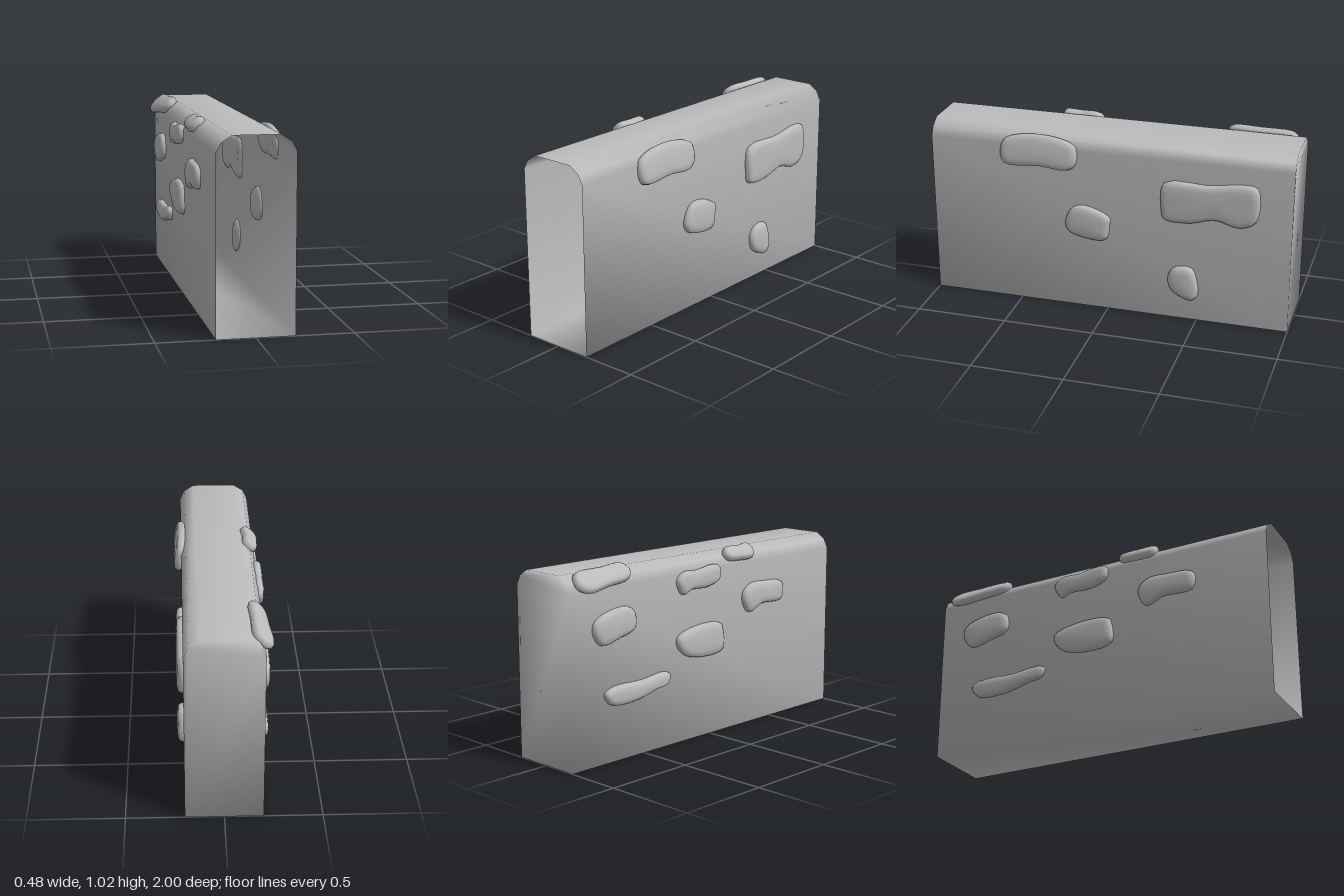
import * as THREE from 'three';

const grey = new THREE.MeshStandardMaterial({ color: 0xbbbbbb, side: THREE.DoubleSide });
grey.name = 'stone grey';

function meshFrom(name, positions, index) {
  const g = new THREE.BufferGeometry();
  g.setAttribute('position', new THREE.Float32BufferAttribute(positions, 3));
  g.setIndex(index);
  g.computeVertexNormals();
  const mesh = new THREE.Mesh(g, grey);
  mesh.name = name;
  return mesh;
}

// Hollow wall shell with chamfered top, closed at the back and open at the front;
// corners are shared so the shading runs smoothly over the edges
function makeWall() {
  const half = [[0.2, 0], [0.2, 0.915], [0.175, 0.965], [0.12, 1]];
  const profile = [...half, ...half.map(([x, y]) => [-x, y]).reverse()];
  const n = profile.length, pos = [], idx = [];
  for (const z of [1, -1]) for (const [x, y] of profile) pos.push(x, y, z);
  for (let i = 0; i < n; i++) {
    const j = (i + 1) % n;
    idx.push(i, n + i, j, n + i, n + j, j);
  }
  const outline = profile.map(([x, y]) => new THREE.Vector2(x, y));
  for (const [a, b, c] of THREE.ShapeUtils.triangulateShape(outline, [])) idx.push(n + a, n + c, n + b);
  return meshFrom('wall', pos, idx);
}

// Cross-sections of a stone: distance from the wall face, inset of the outline
const RINGS = [[-0.02, 0.03], [-0.01, 0.008], [0, 0], [0.018, 0.004], [0.028, 0.016], [0.033, 0.04]];

// Pillow-shaped stone: outline in (z, height), side +1 or -1,
// tilted about the z axis through (side * x, y)
function makeStone(name, { side, outline, x = 0.2, y = 0, tilt = 0 }) {
  const curve = new THREE.CatmullRomCurve3(
    outline.map(([z, u]) => new THREE.Vector3(-side * z, u, 0)), true, 'centripetal');
  const pts = curve.getPoints(36).slice(0, -1);
  if (THREE.ShapeUtils.area(pts) < 0) pts.reverse();
  const box = new THREE.Box3().setFromPoints(pts);
  const c = box.getCenter(new THREE.Vector3());
  const h = box.getSize(new THREE.Vector3()).multiplyScalar(0.5);
  const soft = Math.min(1, h.y / 0.085);
  const pivot = y || c.y;
  const cos = Math.cos(tilt), sin = Math.sin(tilt);
  const n = pts.length, pos = [], idx = [];
  const put = (q, u, d) => {
    const v = y ? u : u - c.y;
    pos.push(side * (x + d * cos - v * sin), pivot + d * sin + v * cos, -side * q);
  };
  for (const [d, inset] of RINGS) {
    const k = inset * soft;
    for (const p of pts) put(c.x + (p.x - c.x) * (1 - k / h.x), c.y + (p.y - c.y) * (1 - k / h.y), d);
  }
  const last = RINGS.length - 1;
  const inner = n * RINGS.length, outer = inner + 1;
  put(c.x, c.y, RINGS[0][0]);
  put(c.x, c.y, RINGS[last][0] + 0.003);
  for (let i = 0; i < n; i++) {
    const j = (i + 1) % n;
    for (let k = 0; k < last; k++) {
      const a = k * n, b = a + n;
      idx.push(a + i, a + j, b + j, a + i, b + j, b + i);
    }
    idx.push(inner, j, i, outer, last * n + i, last * n + j);
  }
  return meshFrom(name, pos, idx);
}

const STONES = {
  // Left side of the wall (+x)
  leftUpperStone: { side: 1, tilt: 0.15, outline: [[0.6, 0.9], [0.57, 0.95], [0.38, 0.985], [0.19, 0.945],
    [0.17, 0.9], [0.18, 0.83], [0.23, 0.8], [0.37, 0.81], [0.58, 0.81]] },
  leftLongStone: { side: 1, outline: [[-0.31, 0.79], [-0.56, 0.8], [-0.74, 0.825], [-0.81, 0.81], [-0.825, 0.69],
    [-0.8, 0.61], [-0.72, 0.58], [-0.59, 0.61], [-0.45, 0.575], [-0.31, 0.585], [-0.295, 0.64]] },
  leftMiddleStone: { side: 1, outline: [[0.24, 0.5], [0.2, 0.585], [0.13, 0.605], [-0.01, 0.55],
    [-0.01, 0.5], [0.01, 0.42], [0.14, 0.42], [0.22, 0.45]] },
  leftLowStone: { side: 1, outline: [[-0.34, 0.26], [-0.375, 0.305], [-0.45, 0.315], [-0.48, 0.295],
    [-0.505, 0.155], [-0.475, 0.12], [-0.37, 0.16], [-0.34, 0.21]] },
  // Right side of the wall (-x)
  rightBackStone: { side: -1, outline: [[-0.85, 0.74], [-0.8, 0.78], [-0.62, 0.805], [-0.57, 0.77],
    [-0.57, 0.685], [-0.68, 0.647], [-0.8, 0.627], [-0.85, 0.685]] },
  rightMiddleStone: { side: -1, outline: [[-0.255, 0.579], [-0.136, 0.62], [0.07, 0.614], [0.09, 0.58],
    [0.09, 0.465], [-0.08, 0.445], [-0.2, 0.475], [-0.255, 0.53]] },
  rightLowStone: { side: -1, outline: [[-0.78, 0.37], [-0.72, 0.4], [-0.52, 0.4], [-0.36, 0.415],
    [-0.32, 0.4], [-0.336, 0.352], [-0.424, 0.334], [-0.56, 0.3], [-0.744, 0.31]] },
  rightUpperStone: { side: -1, outline: [[-0.26, 0.88], [-0.216, 0.925], [-0.104, 0.925], [0, 0.94],
    [0.06, 0.93], [0.06, 0.86], [-0.04, 0.823], [-0.16, 0.825], [-0.22, 0.805]] },
  rightFrontStone: { side: -1, outline: [[0.26, 0.75], [0.32, 0.795], [0.44, 0.795], [0.57, 0.78],
    [0.59, 0.74], [0.57, 0.674], [0.4, 0.67], [0.304, 0.635], [0.26, 0.69]] },
  // Stones lying over the right top edge
  backEdgeStone: { side: -1, x: 0.178, y: 0.963, tilt: 0.8, outline: [[-0.95, 0.01], [-0.92, 0.05], [-0.75, 0.06],
    [-0.6, 0.065], [-0.57, 0.02], [-0.6, -0.03], [-0.75, -0.055], [-0.9, -0.075], [-0.95, -0.04]] },
  frontEdgeStone: { side: -1, x: 0.172, y: 0.968, tilt: 0.85, outline: [[0.13, 0], [0.17, 0.045], [0.25, 0.04],
    [0.34, 0.05], [0.36, 0.01], [0.34, -0.04], [0.22, -0.045], [0.15, -0.035]] },
};

export function createModel() {
  const model = new THREE.Group();
  model.name = 'stone wall';
  model.add(makeWall());
  for (const [name, spec] of Object.entries(STONES)) model.add(makeStone(name, spec));
  return model;
}
